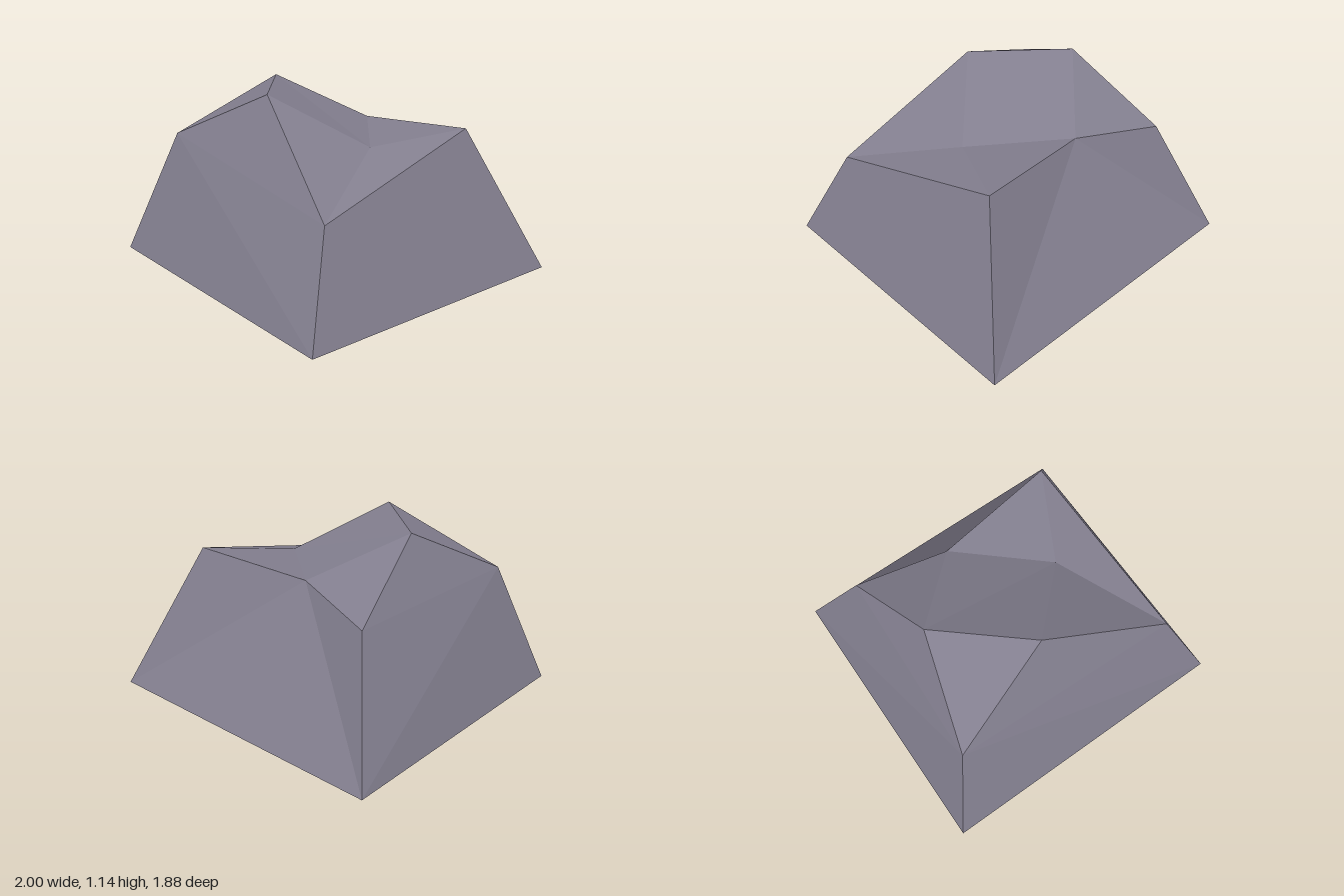
import * as THREE from 'three';

// Corner points of the boulder
const P = {
  // base rectangle
  frontLeft: [-1, 0, 0.94], frontRight: [1, 0, 0.94],
  backRight: [1, 0, -0.94], backLeft: [-1, 0, -0.94],
  // shoulders above each base corner
  shoulderFL: [-0.77, 0.8, 0.66], shoulderFR: [0.775, 0.6, 0.675],
  shoulderBR: [0.655, 0.915, -0.54], shoulderBL: [-0.715, 0.77, -0.61],
  // crest and hollow
  crestFront: [-0.06, 1.14, 0.437], crestSide: [-0.57, 1.14, 0],
  rimBack: [-0.14, 0.865, -0.44], hollow: [0.38, 0.83, 0],
};

// Flat-faced surface; every face is a fan of named points
function facets(name, material, faces) {
  const positions = [];
  for (const face of faces) {
    const pts = face.split(' ').map((key) => P[key]);
    for (let i = 1; i < pts.length - 1; i++) positions.push(...pts[0], ...pts[i], ...pts[i + 1]);
  }
  const geometry = new THREE.BufferGeometry();
  geometry.setAttribute('position', new THREE.Float32BufferAttribute(positions, 3));
  geometry.computeVertexNormals();
  const mesh = new THREE.Mesh(geometry, material);
  mesh.name = name;
  return mesh;
}

export function createModel() {
  const stone = new THREE.MeshStandardMaterial({ color: 0x827e8e, flatShading: true });
  stone.name = 'stone';

  const rock = new THREE.Group();
  rock.name = 'rock';
  rock.add(
    facets('rockTop', stone, [
      'crestSide crestFront hollow rimBack',
      'shoulderBL crestSide rimBack',
      'crestSide shoulderFL crestFront',
      'crestFront shoulderFR hollow',
      'hollow shoulderFR shoulderBR',
      'rimBack hollow shoulderBR',
    ]),
    facets('frontFace', stone, [
      'shoulderFL frontLeft frontRight shoulderFR',
      'shoulderFL shoulderFR crestFront',
    ]),
    facets('plusXFace', stone, ['shoulderFR frontRight backRight shoulderBR']),
    facets('backFace', stone, [
      'shoulderBR backRight rimBack',
      'rimBack backRight backLeft',
      'rimBack backLeft shoulderBL',
    ]),
    facets('minusXFace', stone, [
      'backLeft frontLeft shoulderFL shoulderBL',
      'shoulderBL shoulderFL crestSide',
    ]),
    facets('underside', stone, ['frontLeft backLeft backRight frontRight']),
  );
  return rock;
}
